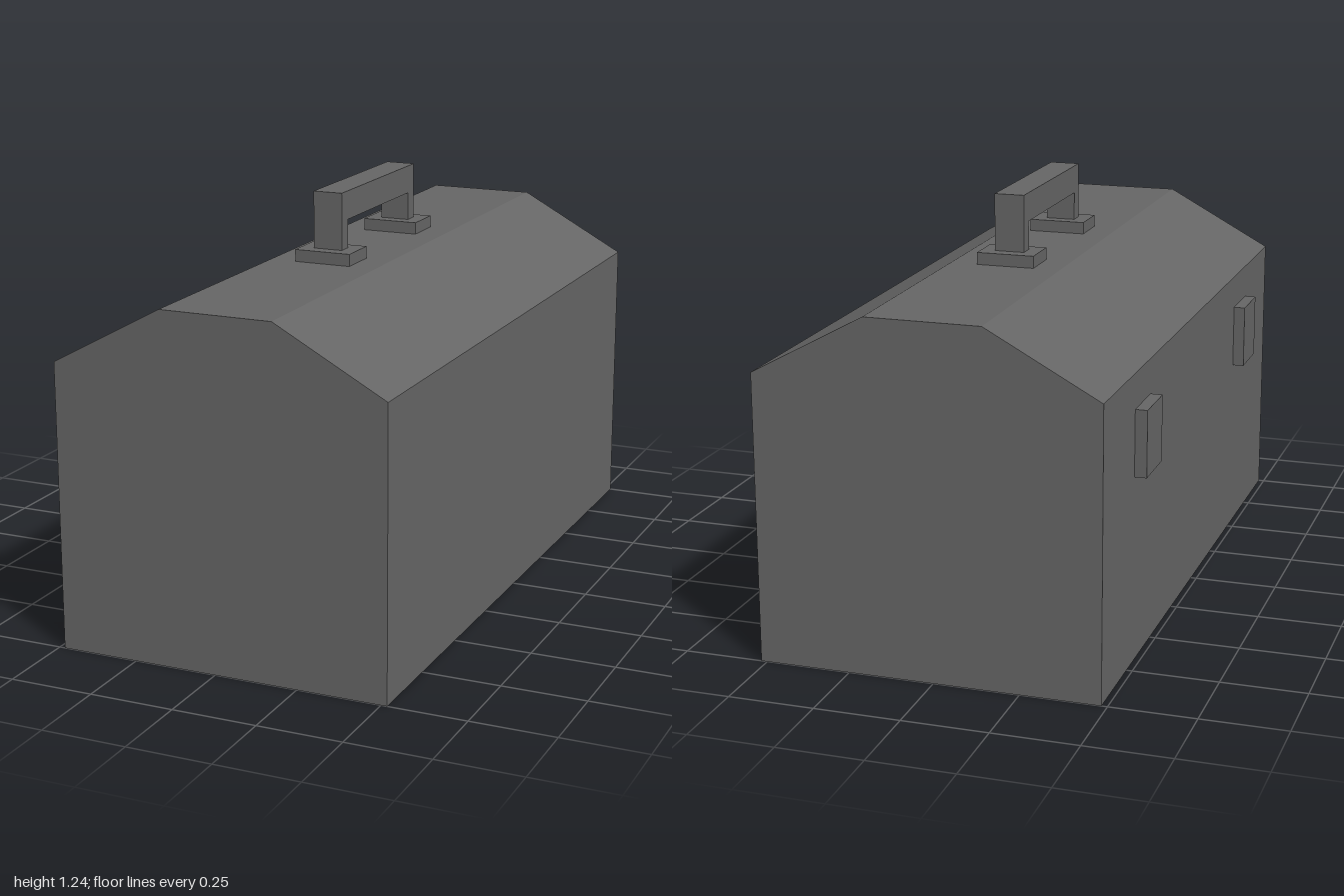
import * as THREE from 'three';

const material = new THREE.MeshStandardMaterial({ color: 0x666666, flatShading: true });

// Extrudes an outline along an axis, centred on its depth
function extrude(name, points, depth) {
  const shape = new THREE.Shape(points.map(([x, y]) => new THREE.Vector2(x, y)));
  const geometry = new THREE.ExtrudeGeometry(shape, { depth, bevelEnabled: false });
  geometry.translate(0, 0, -depth / 2);
  const mesh = new THREE.Mesh(geometry, material);
  mesh.name = name;
  return mesh;
}

// Box given by its size and centre
function box(name, [w, h, d], [x, y, z]) {
  const mesh = new THREE.Mesh(new THREE.BoxGeometry(w, h, d), material);
  mesh.name = name;
  mesh.position.set(x, y, z);
  return mesh;
}

export function createModel() {
  const group = new THREE.Group();
  group.name = 'toolbox';

  // Case with sloped lid
  group.add(extrude('case', [
    [-0.483, 0], [0.518, 0], [0.518, 0.848],
    [0.186, 1.029], [-0.15, 1.029], [-0.483, 0.848],
  ], 2));

  // Carrying handle: a square arch running along the lid
  const handle = extrude('handle', [
    [-0.275, 1.065], [-0.23, 1.065], [-0.23, 1.15], [0.23, 1.15],
    [0.23, 1.065], [0.275, 1.065], [0.275, 1.235], [-0.275, 1.235],
  ], 0.09);
  handle.rotation.y = Math.PI / 2;
  handle.position.x = 0.017;
  group.add(handle);

  // Handle mounts and side latches, one pair at each end
  for (const [end, s] of [['front', 1], ['back', -1]]) {
    group.add(box(end + 'HandleMount', [0.174, 0.036, 0.125], [0.017, 1.047, s * 0.253]));
    group.add(box(end + 'Latch', [0.036, 0.195, 0.162], [-0.5, 0.647, s * 0.607]));
  }
  return group;
}
